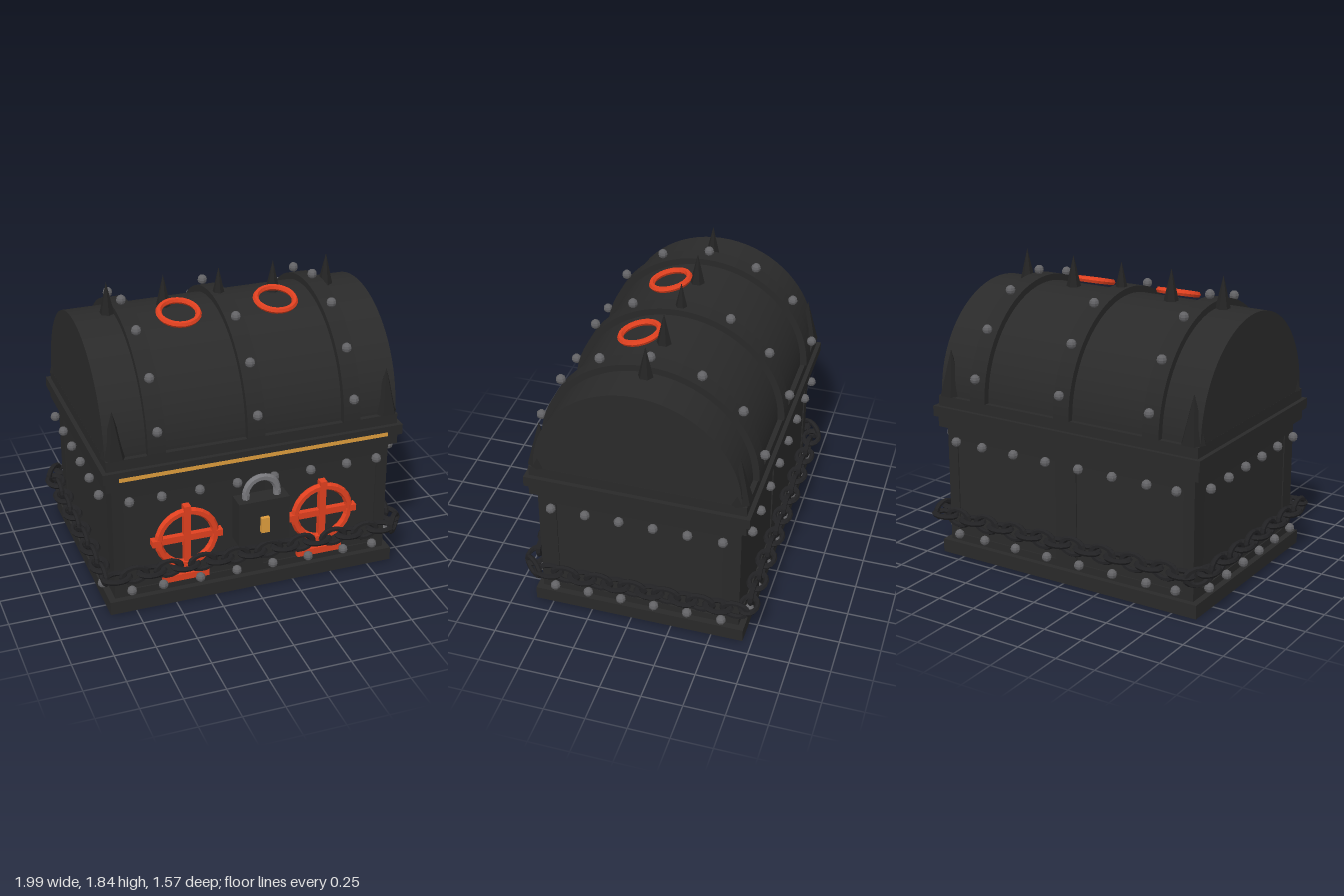
import * as THREE from 'three';

const mat = (name, color) => {
  const m = new THREE.MeshStandardMaterial({ color });
  m.name = name;
  return m;
};

export function createModel() {
  const M = {
    body: mat('charcoal wood', 0x2a2a2a),
    trim: mat('black iron trim', 0x292929),
    spike: mat('dark spike', 0x242424),
    chain: mat('dark chain', 0x222224),
    rivet: mat('grey rivet', 0x626265),
    steel: mat('steel', 0x77777b),
    red: mat('red', 0xe0401f),
    gold: mat('gold', 0xdd9c3c),
  };
  const root = new THREE.Group();
  const CZ = -0.042; // middle of the chest in depth
  const LIDY = 1.03; // axis height of the barrel lid

  const add = (name, geo, material, x = 0, y = 0, z = 0, parent = root) => {
    const m = new THREE.Mesh(geo, material);
    m.name = name;
    m.position.set(x, y, z);
    parent.add(m);
    return m;
  };
  // box from its limits
  const box = (name, material, x0, x1, y0, y1, z0, z1, parent = root) =>
    add(name, new THREE.BoxGeometry(x1 - x0, y1 - y0, z1 - z0), material,
      (x0 + x1) / 2, (y0 + y1) / 2, (z0 + z1) / 2, parent);
  // slab centred on the chest, from half sizes
  const slab = (name, material, hx, hz, y0, y1) =>
    box(name, material, -hx, hx, y0, y1, CZ - hz, CZ + hz);
  const facet = (geo) => {
    const g = geo.toNonIndexed();
    g.computeVertexNormals();
    return g;
  };

  // chest body: core, bands, rims
  slab('body', M.body, 0.862, 0.609, 0.05, 0.84);
  slab('base', M.trim, 0.908, 0.653, 0, 0.085);
  slab('lowerBand', M.trim, 0.869, 0.617, 0.085, 0.13);
  slab('upperBand', M.trim, 0.869, 0.617, 0.755, 0.83);
  slab('lowerRim', M.trim, 0.91, 0.653, 0.83, 0.9);
  slab('upperRim', M.trim, 0.93, 0.676, 0.9, 0.965);
  slab('lidPlinth', M.trim, 0.903, 0.65, 0.965, LIDY);
  for (const sz of [-1, 1]) {
    for (const sx of [-1, 1]) {
      add('cornerPost', new THREE.BoxGeometry(0.07, 0.63, 0.11), M.trim, sx * 0.834, 0.443, CZ + sz * 0.562);
    }
    add('centreStile', new THREE.BoxGeometry(0.144, 0.63, 0.02), M.trim, 0, 0.443, CZ + sz * 0.607);
  }
  add('goldStrip', new THREE.BoxGeometry(1.67, 0.026, 0.006), M.gold, 0, 0.914, CZ + 0.6735);

  // barrel lid and its straps
  const barrel = (r, length) =>
    new THREE.CylinderGeometry(r, r, length, 36, 1, false, 0, Math.PI).rotateZ(Math.PI / 2);
  add('lid', barrel(0.62, 1.805), M.body, 0, LIDY, CZ);
  const rivetGeo = facet(new THREE.SphereGeometry(0.03, 8, 6));
  const rivet = (x, y, z) => add('rivet', rivetGeo, M.rivet, x, y, z);
  for (const x of [-0.603, 0, 0.603]) {
    add('lidStrap', barrel(0.66, 0.108), M.trim, x, LIDY, CZ);
    for (let i = 0; i < 7; i++) {
      if (x === 0 && i === 3) continue; // a spike sits here
      const a = ((i + 0.5) / 7) * Math.PI;
      rivet(x, LIDY + 0.69 * Math.sin(a), CZ + 0.69 * Math.cos(a));
    }
  }

  // rivet rows round the body
  for (const y of [0.148, 0.753]) {
    for (const s of [-1, 1]) {
      for (const x of [0.116, 0.348, 0.58, 0.775]) {
        rivet(x, y, CZ + s * 0.658);
        rivet(-x, y, CZ + s * 0.658);
      }
      for (const z of [0.103, 0.31, 0.52]) {
        rivet(s * 0.918, y, CZ + z);
        rivet(s * 0.918, y, CZ - z);
      }
    }
  }

  // ridge spikes and corner spikes
  const ridgeGeo = facet(new THREE.ConeGeometry(0.046, 0.2, 6));
  for (let i = -2; i <= 2; i++) add('ridgeSpike', ridgeGeo, M.spike, i * 0.345, 1.743, CZ);
  const cornerGeo = facet(new THREE.ConeGeometry(0.078, 0.285, 6).rotateY(Math.PI / 6));
  for (const sx of [-1, 1]) {
    for (const sz of [-1, 1]) {
      add('cornerSpike', cornerGeo, M.spike, sx * 0.843, LIDY + 0.1425, CZ + sz * 0.592);
    }
  }

  // red rings lying on the lid
  const lidRing = facet(new THREE.TorusGeometry(0.117, 0.019, 6, 24).rotateX(Math.PI / 2));
  const tilt = 0.245;
  for (const x of [-0.302, 0.302]) {
    const ring = add('lidRing', lidRing, M.red, x, LIDY + 0.65 * Math.cos(tilt), CZ + 0.65 * Math.sin(tilt));
    ring.rotation.x = tilt;
  }

  // red wheels on the front
  const wheelRing = facet(new THREE.TorusGeometry(0.175, 0.025, 6, 24));
  for (const x of [-0.43, 0.43]) {
    const wheel = new THREE.Group();
    wheel.name = 'wheel';
    wheel.position.set(x, 0.445, 0.61);
    add('wheelRing', wheelRing, M.red, 0, 0, 0, wheel);
    add('wheelBarUpright', new THREE.BoxGeometry(0.042, 0.33, 0.04), M.red, 0, 0, -0.005, wheel);
    add('wheelBarLevel', new THREE.BoxGeometry(0.33, 0.042, 0.036), M.red, 0, 0, -0.005, wheel);
    for (let i = 0; i < 4; i++) {
      const a = (i * Math.PI) / 2;
      add('wheelStud', new THREE.BoxGeometry(0.042, 0.042, 0.05), M.red,
        0.197 * Math.cos(a), 0.197 * Math.sin(a), 0, wheel);
    }
    root.add(wheel);
    box('redPlate', M.red, x - 0.144, x + 0.144, 0.14, 0.182, 0.56, 0.6);
  }

  // padlock
  const lock = new THREE.Group();
  lock.name = 'padlock';
  root.add(lock);
  box('lockBody', M.trim, -0.158, 0.158, 0.407, 0.69, 0.648, 0.76, lock);
  box('lockPlate', M.gold, -0.026, 0.026, 0.487, 0.585, 0.755, 0.785, lock);
  add('shackle', facet(new THREE.TorusGeometry(0.097, 0.023, 6, 14, Math.PI)), M.steel, 0, 0.722, 0.705, lock);
  for (const s of [-1, 1]) {
    add('shackleLeg', facet(new THREE.CylinderGeometry(0.023, 0.023, 0.06, 6)), M.steel, s * 0.097, 0.695, 0.705, lock);
  }

  // chain: links alternate upright and flat round a rounded rectangle
  const hx = 0.933, hz = 0.675, r = 0.06;
  const path = new THREE.Shape();
  path.moveTo(-hx + r, hz);
  path.lineTo(hx - r, hz);
  path.absarc(hx - r, hz - r, r, Math.PI / 2, 0, true);
  path.lineTo(hx, -hz + r);
  path.absarc(hx - r, -hz + r, r, 0, -Math.PI / 2, true);
  path.lineTo(-hx + r, -hz);
  path.absarc(-hx + r, -hz + r, r, -Math.PI / 2, -Math.PI, true);
  path.lineTo(-hx, hz - r);
  path.absarc(-hx + r, hz - r, r, Math.PI, Math.PI / 2, true);
  const ringGeo = new THREE.TorusGeometry(0.05, 0.016, 6, 14).scale(1.45, 1, 1);
  const upright = facet(ringGeo);
  const flat = facet(ringGeo.clone().rotateX(Math.PI / 2));
  const chain = new THREE.Group();
  chain.name = 'chain';
  root.add(chain);
  const N = 60;
  for (let i = 0; i < N; i++) {
    const u = (i + 0.05) / N;
    const p = path.getPointAt(u);
    const t = path.getTangentAt(u);
    const link = add('chainLink', i % 2 ? upright : flat, M.chain, p.x, 0.267, CZ + p.y, chain);
    link.rotation.y = -Math.atan2(t.y, t.x);
  }
  return root;
}
